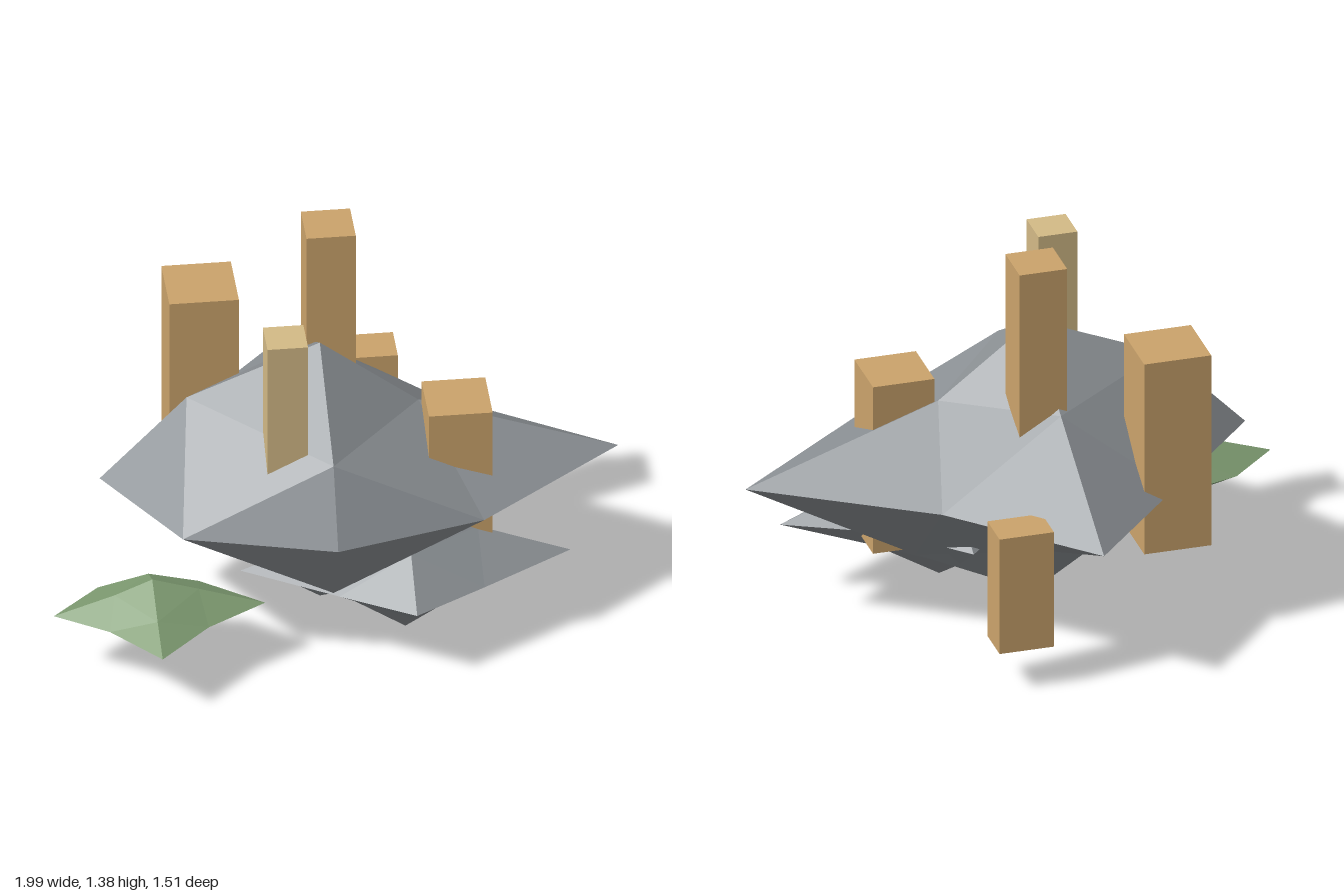
import * as THREE from 'three';

// Faceted boulder: an octahedron with every edge split once.
// tips = distances along [+x, -x, +y, -y, +z, -z];
// xy, yz, zx = offsets of the edge points for the signs (++), (+-), (-+), (--).
function boulder(name, color, center, tips, xy, yz, zx) {
  const axisTip = (axis, s) => {
    const p = [0, 0, 0];
    p[axis] = s * tips[axis * 2 + (s < 0 ? 1 : 0)];
    return p;
  };
  const pick = (list, a, b) => {
    const [u, v] = list[(a < 0 ? 2 : 0) + (b < 0 ? 1 : 0)];
    return [a * u, b * v];
  };
  const pos = [];
  for (const sx of [1, -1]) for (const sy of [1, -1]) for (const sz of [1, -1]) {
    const X = axisTip(0, sx), Y = axisTip(1, sy), Z = axisTip(2, sz);
    const a = pick(xy, sx, sy), b = pick(yz, sy, sz), c = pick(zx, sz, sx);
    const XY = [a[0], a[1], 0], YZ = [0, b[0], b[1]], ZX = [c[1], 0, c[0]];
    for (const [p, q, r] of [[X, XY, ZX], [Y, YZ, XY], [Z, ZX, YZ], [XY, YZ, ZX]]) {
      // mirrored octants need the opposite corner order
      pos.push(...p, ...(sx * sy * sz > 0 ? [...q, ...r] : [...r, ...q]));
    }
  }
  const geo = new THREE.BufferGeometry();
  geo.setAttribute('position', new THREE.Float32BufferAttribute(pos, 3));
  geo.computeVertexNormals();
  const mesh = new THREE.Mesh(geo, new THREE.MeshStandardMaterial({ color, flatShading: true }));
  mesh.name = name;
  mesh.position.set(...center);
  return mesh;
}

// Square post given by its bounds
function post(name, color, [x0, x1], [y0, y1], [z0, z1]) {
  const mesh = new THREE.Mesh(
    new THREE.BoxGeometry(x1 - x0, y1 - y0, z1 - z0),
    new THREE.MeshStandardMaterial({ color })
  );
  mesh.name = name;
  mesh.position.set((x0 + x1) / 2, (y0 + y1) / 2, (z0 + z1) / 2);
  return mesh;
}

export function createModel() {
  const group = new THREE.Group();
  group.name = 'rockCluster';
  const stone = 0x8d9296, wood = 0xcca46c, paleWood = 0xd4bb87, moss = 0x7f9c72;

  // Rocks and moss
  group.add(
    boulder('mainRock', stone, [-0.04, 0.54, 0.08],
      [1.03, 0.76, 0.5, 0.54, 0.55, 0.84],
      [[0.34, 0.24], [0.42, 0.34], [0.46, 0.31], [0.46, 0.25]],
      [[0.26, 0.41], [0.29, 0.33], [0.26, 0.41], [0.26, 0.27]],
      [[0.41, 0.52], [0.41, 0.52], [0.38, 0.44], [0.42, 0.38]]),
    boulder('smallRock', stone, [0.23, 0.27, 0.3],
      [0.57, 0.57, 0.25, 0.27, 0.35, 0.41],
      [[0.25, 0.12], [0.23, 0.13], [0.25, 0.12], [0.23, 0.12]],
      [[0.135, 0.17], [0.13, 0.2], [0.12, 0.18], [0.14, 0.21]],
      [[0.2, 0.25], [0.2, 0.25], [0.17, 0.23], [0.17, 0.23]]),
    boulder('mossPatch', moss, [-0.66, 0.225, 0.44],
      [0.39, 0.34, 0.125, 0.125, 0.31, 0.21],
      [[0.16, 0.075], [0.16, 0.065], [0.13, 0.07], [0.14, 0.055]],
      [[0.055, 0.16], [0.07, 0.12], [0.06, 0.14], [0.06, 0.12]],
      [[0.13, 0.18], [0.12, 0.16], [0.16, 0.18], [0.16, 0.17]])
  );

  // Posts
  group.add(
    post('tallPost', wood, [-0.07, 0.1], [0.62, 1.38], [-0.225, -0.055]),
    post('slimPost', paleWood, [-0.26, -0.12], [0.55, 1.25], [0.28, 0.42]),
    post('widePost', wood, [-0.53, -0.29], [0.34, 1.07], [-0.41, -0.17]),
    post('sidePost', wood, [0.31, 0.53], [0.22, 0.86], [0.09, 0.31]),
    post('rearPost', wood, [0.1, 0.295], [0.15, 0.59], [-0.63, -0.485])
  );
  return group;
}
